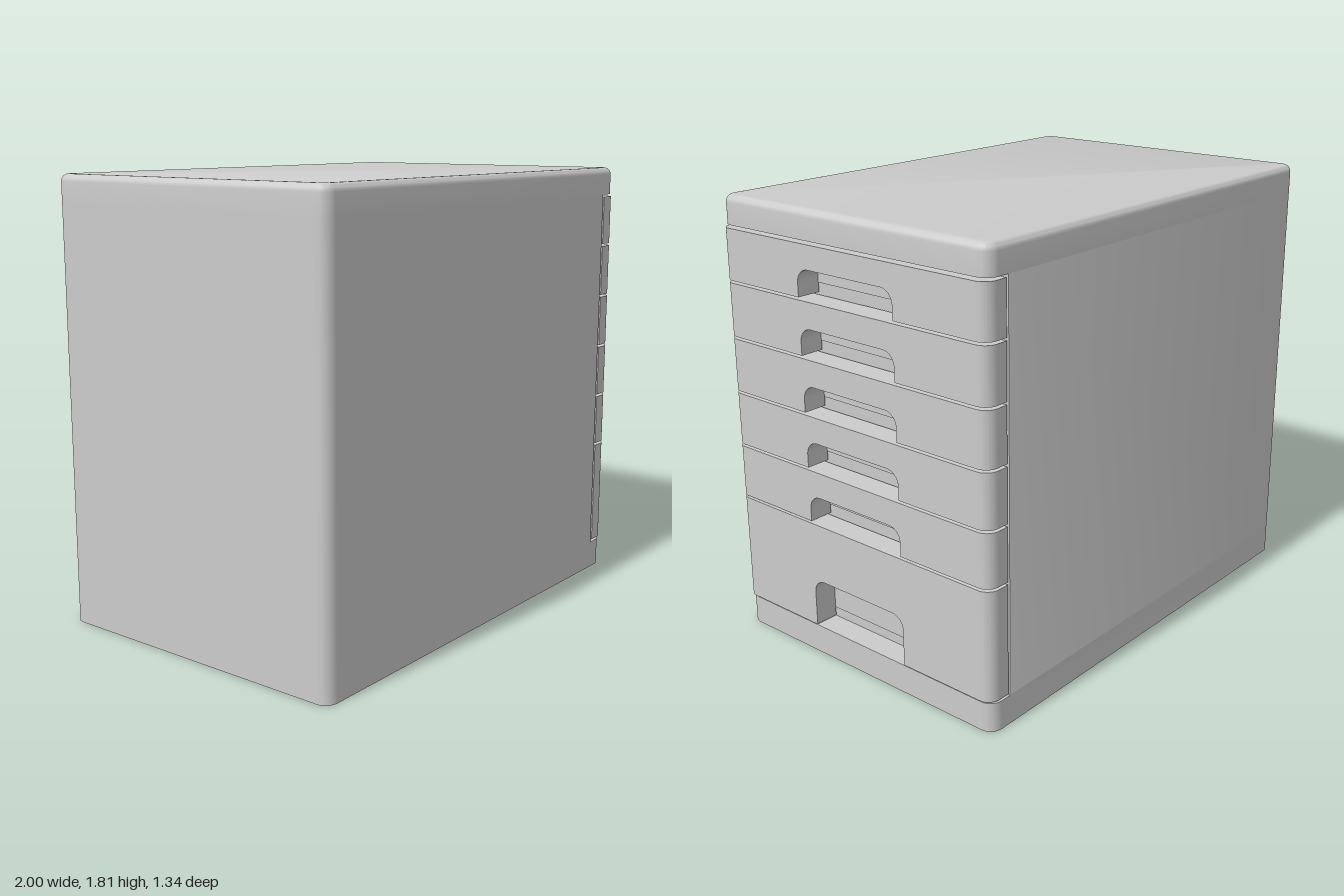
import * as THREE from 'three';
import { mergeGeometries, toCreasedNormals } from 'three/addons/utils/BufferGeometryUtils.js';

const material = new THREE.MeshStandardMaterial({ color: 0xcccccc });
const HALF = 0.672, HEIGHT = 1.807, BACK = -1, FRONT = 0.99;
const PANEL_BACK = 0.9, PANEL_FRONT = 1, CORE_FRONT = 0.89, CORNER = 0.052;
const STEPS = 8;

function addMesh(parent, geometry, name) {
  const mesh = new THREE.Mesh(geometry, material);
  mesh.name = name;
  parent.add(mesh);
}

// Horizontal rounded rectangle, with its own radius at the front corners
function ring(y, front, frontRadius, inset = 0) {
  const x0 = BACK + inset, x1 = front - inset, h = HALF - inset;
  const rb = CORNER - inset, rf = Math.max(frontRadius - inset, 0.001);
  const corners = [[x1 - rf, h - rf, rf], [x0 + rb, h - rb, rb], [x0 + rb, rb - h, rb], [x1 - rf, rf - h, rf]];
  const points = [];
  corners.forEach(([x, z, r], c) => {
    for (let i = 0; i <= STEPS; i++) {
      const a = (c + i / STEPS) * Math.PI / 2;
      points.push(new THREE.Vector3(x + r * Math.cos(a), y, z + r * Math.sin(a)));
    }
  });
  return points;
}

// Skin through the rings from bottom to top, capped at both ends
function loft(rings) {
  const out = [];
  const tri = (a, b, c) => {
    if (new THREE.Triangle(a, b, c).getArea() > 1e-9) out.push(...a, ...b, ...c);
  };
  const n = rings[0].length, last = rings[rings.length - 1];
  for (let k = 0; k < rings.length - 1; k++) {
    for (let i = 0; i < n; i++) {
      const j = (i + 1) % n, a = rings[k], b = rings[k + 1];
      tri(a[i], b[i], b[j]);
      tri(a[i], b[j], a[j]);
    }
  }
  for (let i = 1; i < n - 1; i++) {
    tri(rings[0][0], rings[0][i], rings[0][i + 1]);
    tri(last[0], last[i + 1], last[i]);
  }
  const g = new THREE.BufferGeometry();
  g.setAttribute('position', new THREE.Float32BufferAttribute(out, 3));
  return toCreasedNormals(g, 0.6);
}

// Drawer face: notched flat middle plus a rounded column at each end
function facePanel(y0, y1, notchTop) {
  const w = HALF - CORNER, n = 0.242, r = 0.055;
  const s = new THREE.Shape();
  s.moveTo(-w, y0);
  s.lineTo(-n, y0);
  s.lineTo(-n, notchTop - r);
  s.absarc(-n + r, notchTop - r, r, Math.PI, Math.PI / 2, true);
  s.lineTo(n - r, notchTop);
  s.absarc(n - r, notchTop - r, r, Math.PI / 2, 0, true);
  s.lineTo(n, y0);
  s.lineTo(w, y0);
  s.lineTo(w, y1);
  s.lineTo(-w, y1);
  const middle = new THREE.ExtrudeGeometry(s, { depth: PANEL_FRONT - PANEL_BACK, bevelEnabled: false, curveSegments: STEPS });
  middle.rotateY(Math.PI / 2).translate(PANEL_BACK, 0, 0);
  const parts = [middle];
  for (const side of [-1, 1]) {
    const e = new THREE.Shape();
    e.moveTo(PANEL_BACK, side * w);
    e.lineTo(PANEL_FRONT, side * w);
    e.absarc(PANEL_FRONT - CORNER, side * w, CORNER, 0, side * Math.PI / 2, side < 0);
    e.lineTo(PANEL_BACK, side * HALF);
    const g = new THREE.ExtrudeGeometry(e, { depth: y1 - y0, bevelEnabled: false, curveSegments: STEPS });
    parts.push(g.rotateX(-Math.PI / 2).translate(0, y0, 0));
  }
  return toCreasedNormals(mergeGeometries(parts), 0.6);
}

export function createModel() {
  const model = new THREE.Group();
  model.name = 'drawerCabinet';

  // Cabinet body: plinth, set-back core, lid with a softened top edge
  const baseTop = 0.118, lidBottom = 1.692, fillet = 0.03;
  const rings = [
    ring(0, FRONT, CORNER), ring(baseTop, FRONT, CORNER),
    ring(baseTop, CORE_FRONT, 0), ring(lidBottom, CORE_FRONT, 0),
    ring(lidBottom, FRONT, CORNER),
  ];
  for (let i = 0; i <= 6; i++) {
    const a = i / 6 * Math.PI / 2;
    rings.push(ring(HEIGHT - fillet + fillet * Math.sin(a), FRONT, CORNER, fillet * (1 - Math.cos(a))));
  }
  addMesh(model, loft(rings), 'cabinetBody');

  // One deep drawer below five shallow ones
  const gap = 0.01, firstSeam = 0.571, pitch = (lidBottom - firstSeam) / 5;
  for (let i = 0; i < 6; i++) {
    const y0 = i === 0 ? baseTop + gap : firstSeam + pitch * (i - 1) + gap;
    const y1 = i === 0 ? firstSeam : firstSeam + pitch * i - (i === 5 ? gap : 0);
    const drawer = new THREE.Group();
    drawer.name = 'drawer' + (i + 1);
    addMesh(drawer, facePanel(y0, y1, y0 + (i === 0 ? 0.202 : 0.11)), 'drawerFace');
    // Drawer tray behind the face, closing the back of the handle notch
    const low = y0 + 0.037, high = y1 - (i === 0 ? 0.1 : 0.045);
    const tray = new THREE.BoxGeometry(0.051, high - low, 1.26);
    addMesh(drawer, tray.translate(0.876, (low + high) / 2, 0), 'drawerTray');
    model.add(drawer);
  }
  return model;
}
